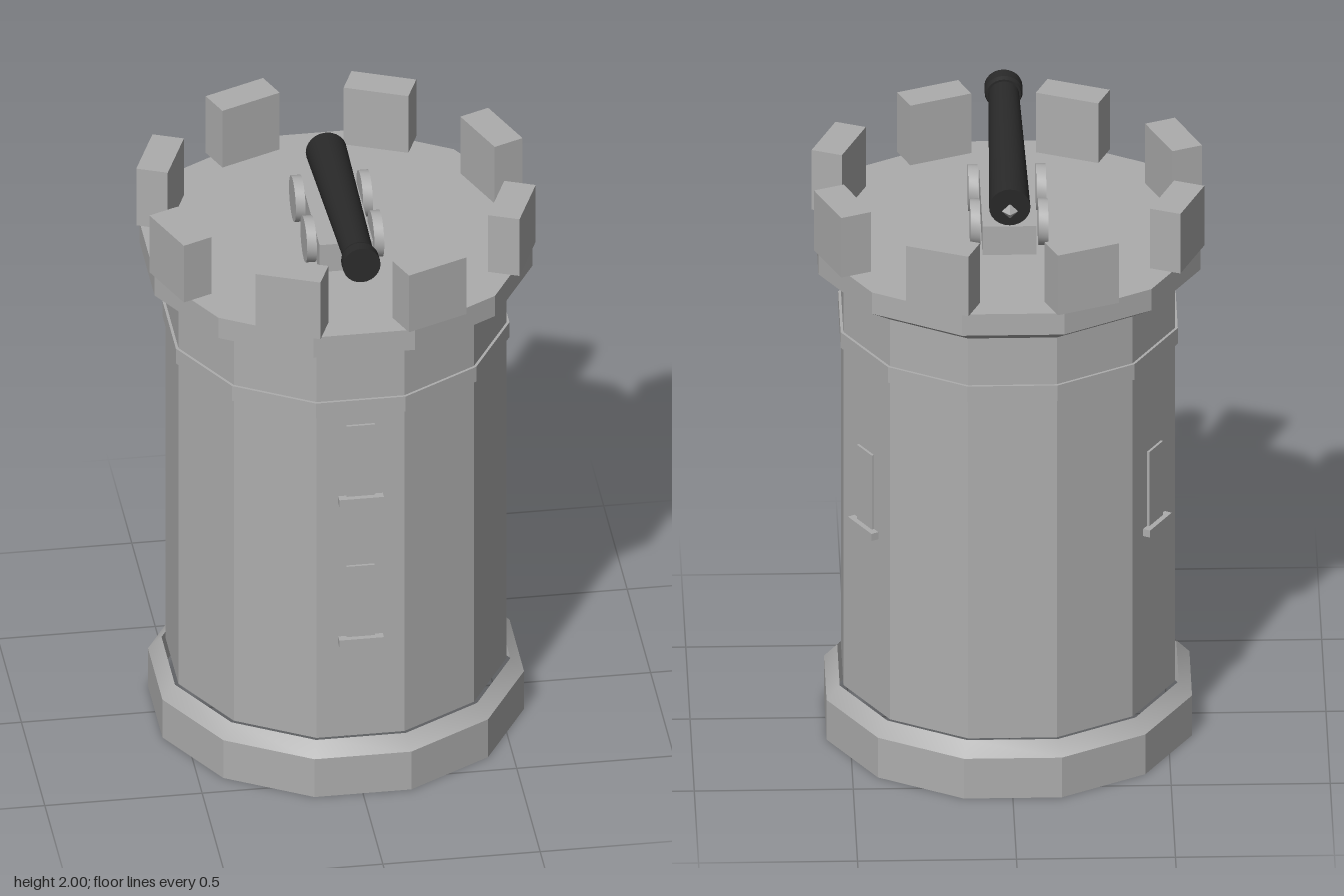
import * as THREE from 'three';
import { toCreasedNormals } from 'three/addons/utils/BufferGeometryUtils.js';

export function createModel() {
  const stone = new THREE.MeshStandardMaterial({ color: 0xadadad, side: THREE.DoubleSide });
  stone.name = 'stone grey';
  const iron = new THREE.MeshStandardMaterial({ color: 0x2a2a2a });
  iron.name = 'dark iron';

  const model = new THREE.Group();
  model.name = 'cannonTower';

  function add(parent, name, geometry, material, x = 0, y = 0, z = 0) {
    const mesh = new THREE.Mesh(toCreasedNormals(geometry, 0.45), material);
    mesh.name = name;
    mesh.position.set(x, y, z);
    parent.add(mesh);
    return mesh;
  }
  // twelve-sided ring from [radius, height] points, a flat side facing front
  function ring(name, points) {
    const profile = points.map(([r, y]) => new THREE.Vector2(r, y));
    return add(model, name, new THREE.LatheGeometry(profile, 12, Math.PI / 12), stone);
  }
  function group(parent, name) {
    const g = new THREE.Group();
    g.name = name;
    parent.add(g);
    return g;
  }

  // Tower walls, open at the bottom
  ring('base', [[0.595, 0], [0.595, 0.14], [0.552, 0.185]]);
  ring('wall', [[0.54, 0.185], [0.54, 1.6]]);
  ring('band', [[0.54, 1.375], [0.549, 1.375], [0.549, 1.43], [0.54, 1.43]]);
  ring('crown', [[0.54, 1.595], [0.622, 1.645], [0.622, 1.72], [0, 1.72]]);

  // Eight battlement blocks
  for (let i = 0; i < 8; i++) {
    const a = Math.PI / 8 + i * Math.PI / 4;
    const block = add(model, 'merlon', new THREE.BoxGeometry(0.21, 0.21, 0.102), stone,
      Math.sin(a) * 0.57, 1.825, Math.cos(a) * 0.57);
    block.rotation.y = a;
  }

  // Windows with sills: [angle in degrees, sill height]
  for (const [deg, y] of [[0, 1.05], [0, 0.53], [120, 0.79], [240, 0.79]]) {
    const win = group(model, 'window');
    win.rotation.y = THREE.MathUtils.degToRad(deg);
    add(win, 'windowPane', new THREE.BoxGeometry(0.09, 0.265, 0.009), stone, 0, y + 0.153, 0.5255);
    add(win, 'windowSill', new THREE.BoxGeometry(0.142, 0.025, 0.025), stone, 0, y + 0.0125, 0.5345);
  }

  // Gun carriage
  const carriage = group(model, 'carriage');
  add(carriage, 'carriageBed', new THREE.BoxGeometry(0.17, 0.1, 0.41), stone, 0, 1.77, 0.015);
  for (const side of [-1, 1]) {
    for (const z of [-0.107, 0.135]) {
      const wheel = new THREE.CylinderGeometry(0.074, 0.074, 0.031, 24).rotateZ(Math.PI / 2);
      add(carriage, 'wheel', wheel, stone, side * 0.107, 1.794, z);
    }
  }

  // Cannon, pointing forward and slightly up
  const cannon = group(model, 'cannon');
  cannon.position.set(0, 1.897, -0.21);
  cannon.rotation.x = -0.057;
  const barrel = new THREE.CylinderGeometry(0.048, 0.065, 0.72, 24).rotateX(Math.PI / 2);
  add(cannon, 'barrel', barrel, iron, 0, 0, 0.36);
  const muzzle = new THREE.CylinderGeometry(0.06, 0.06, 0.04, 24).rotateX(Math.PI / 2);
  add(cannon, 'muzzle', muzzle, iron, 0, 0, 0.74);
  const collar = new THREE.CylinderGeometry(0.06, 0.055, 0.015, 24).rotateX(Math.PI / 2);
  add(cannon, 'muzzleCollar', collar, iron, 0, 0, 0.7125);
  add(cannon, 'breechKnob', new THREE.OctahedronGeometry(0.026), stone, 0, 0, -0.024);

  return model;
}
